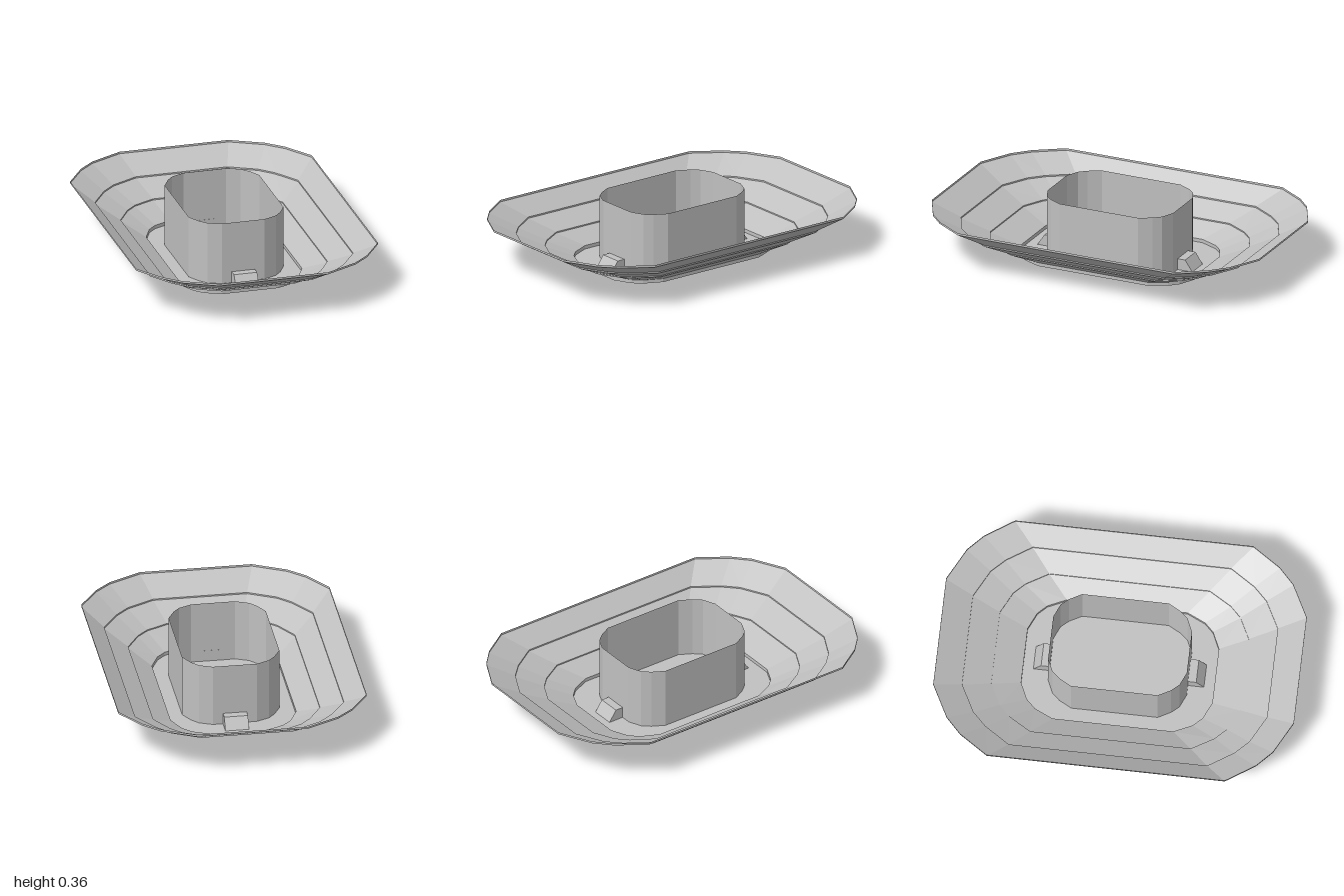
import * as THREE from 'three';

// Quarter outlines (x, z), from the end edge round the corner to the long side
const FLOOR = [[0.16, 0.53], [0.254, 0.487], [0.302, 0.438], [0.35, 0.335]];
const RING1 = [[0.21, 0.69], [0.33, 0.63], [0.39, 0.57], [0.465, 0.445]];
const RING2 = [[0.262, 0.845], [0.415, 0.765], [0.49, 0.69], [0.582, 0.55]];
const RIM = [[0.312, 1], [0.495, 0.905], [0.585, 0.82], [0.692, 0.66]];
const TUB = [[0.123, 0.384], [0.196, 0.352], [0.233, 0.31], [0.271, 0.24]];

// Mirrors a quarter outline into a closed loop of 16 points
function fullLoop(q) {
  const back = [...q].reverse();
  return [
    ...q,
    ...back.map(([x, z]) => [x, -z]),
    ...q.map(([x, z]) => [-x, -z]),
    ...back.map(([x, z]) => [-x, z]),
  ];
}

// Open band between two outlines at two heights, facing outward
function band(q0, y0, q1, y1) {
  const a = fullLoop(q0), b = fullLoop(q1), pos = [];
  for (let i = 0; i < a.length; i++) {
    const j = (i + 1) % a.length;
    const A = [a[i][0], y0, a[i][1]], B = [a[j][0], y0, a[j][1]];
    const C = [b[j][0], y1, b[j][1]], D = [b[i][0], y1, b[i][1]];
    pos.push(...A, ...B, ...C, ...A, ...C, ...D);
  }
  const g = new THREE.BufferGeometry();
  g.setAttribute('position', new THREE.Float32BufferAttribute(pos, 3));
  g.computeVertexNormals();
  return g;
}

export function createModel() {
  const group = new THREE.Group();
  const grey = new THREE.MeshStandardMaterial({ color: 0xc0c0c0, side: THREE.DoubleSide, flatShading: true });
  grey.name = 'light grey';
  const add = (name, geometry) => {
    const mesh = new THREE.Mesh(geometry, grey);
    mesh.name = name;
    group.add(mesh);
    return mesh;
  };

  // Flat floor
  const floorShape = new THREE.Shape(fullLoop(FLOOR).map(([x, z]) => new THREE.Vector2(x, -z)));
  add('floor', new THREE.ShapeGeometry(floorShape).rotateX(-Math.PI / 2));

  // Sloped tiers separated by narrow upright lips
  add('baseLip', band(FLOOR, 0, FLOOR, 0.02));
  add('lowerTier', band(FLOOR, 0.02, RING1, 0.085));
  add('lowerLip', band(RING1, 0.085, RING1, 0.092));
  add('middleTier', band(RING1, 0.092, RING2, 0.161));
  add('middleLip', band(RING2, 0.161, RING2, 0.169));
  add('upperTier', band(RING2, 0.169, RIM, 0.25));
  add('rimLip', band(RIM, 0.25, RIM, 0.262));

  // Thin upright wall, open at the top
  add('innerWall', band(TUB, 0.001, TUB, 0.357));

  // Small wedge block at each end of the wall
  const profile = new THREE.Shape([
    [0.383, 0.001], [0.473, 0.001], [0.43, 0.065], [0.383, 0.065],
  ].map(([z, y]) => new THREE.Vector2(z, y)));
  for (const [name, turn] of [['frontWedge', 0], ['backWedge', Math.PI]]) {
    const g = new THREE.ExtrudeGeometry(profile, { depth: 0.132, bevelEnabled: false });
    g.translate(0, 0, -0.066).rotateY(-Math.PI / 2);
    add(name, g).rotation.y = turn;
  }
  return group;
}
